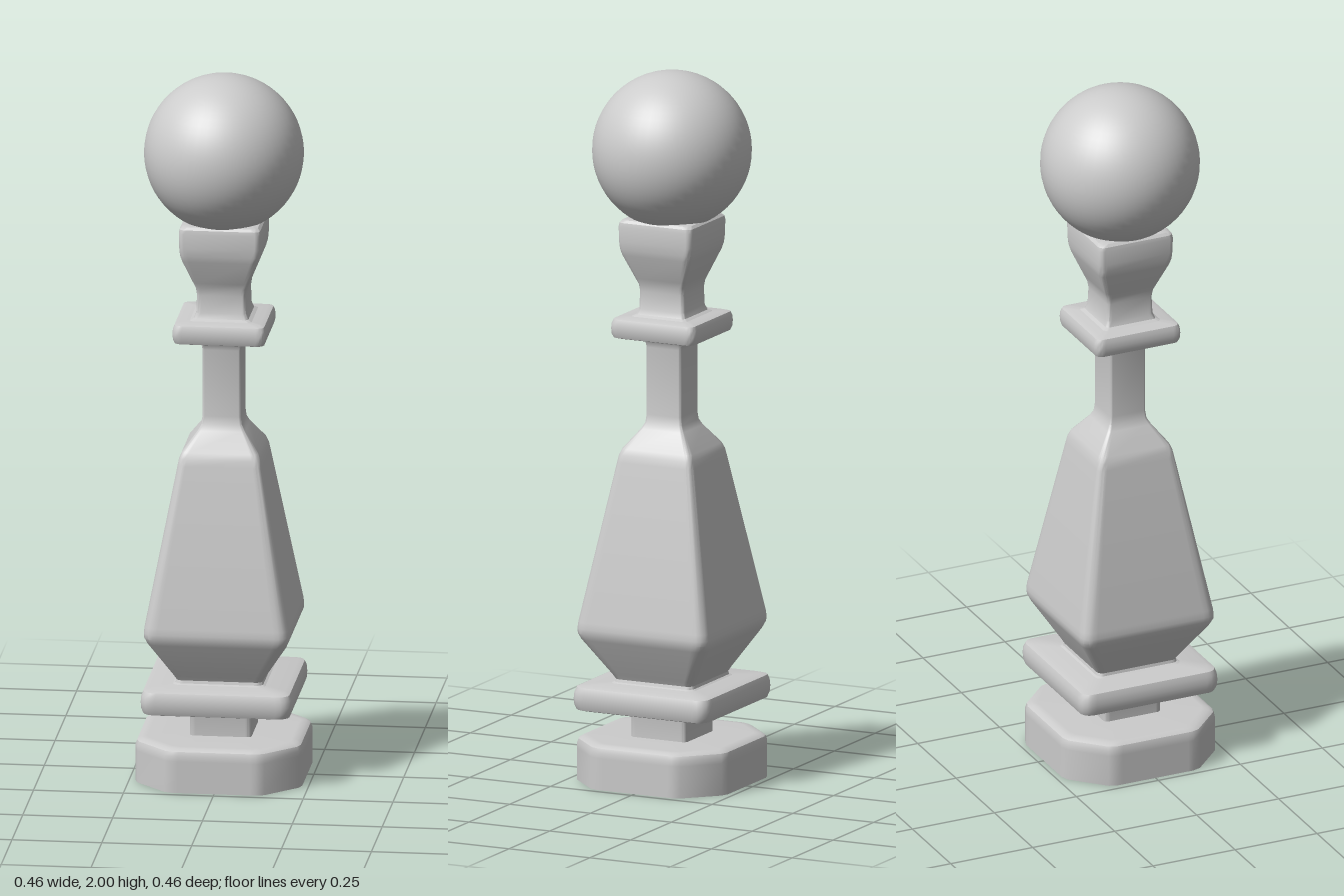
import * as THREE from 'three';
import { toCreasedNormals } from 'three/addons/utils/BufferGeometryUtils.js';

const material = new THREE.MeshStandardMaterial({ color: 0xcccccc, side: THREE.DoubleSide });

// One corner of a square section of half width 1: softly eased, or broadly chamfered
const EASED = [[1, 0.8], [1, 0.87], [0.98, 0.93], [0.93, 0.98], [0.87, 1], [0.8, 1]];
const CHAMFERED = [[1, 0.43], [1, 0.5], [0.965, 0.6], [0.6, 0.965], [0.5, 1], [0.43, 1]];

// Turn one corner into a full section by quarter turns
function fullSection(corner) {
  const section = [];
  for (let q = 0; q < 4; q++) {
    for (const [a, b] of corner) {
      section.push([[a, b], [-b, a], [-a, -b], [b, -a]][q]);
    }
  }
  return section;
}

// Loft a section along a profile of [half width, height], from bottom to top
function squareTurned(name, profile, corner = EASED) {
  const section = fullSection(corner);
  const n = section.length;
  const positions = [];
  const index = [];
  for (const [h, y] of profile) {
    for (const [x, z] of section) positions.push(x * h, y, z * h);
  }
  for (let r = 0; r < profile.length - 1; r++) {
    for (let i = 0; i < n; i++) {
      const a = r * n + i;
      const b = r * n + (i + 1) % n;
      index.push(a, a + n, b, b, a + n, b + n);
    }
  }
  const geometry = new THREE.BufferGeometry();
  geometry.setAttribute('position', new THREE.Float32BufferAttribute(positions, 3));
  geometry.setIndex(index);
  const mesh = new THREE.Mesh(toCreasedNormals(geometry, 0.6), material);
  mesh.name = name;
  return mesh;
}

// Flat square ring with a rounded rim
function collar(name, half, y0, y1) {
  const r = (y1 - y0) / 2;
  const profile = [[0, y0]];
  for (let i = 0; i <= 6; i++) {
    const t = -Math.PI / 2 + (i / 6) * Math.PI;
    const bulge = Math.sqrt(Math.max(0, Math.cos(t)));
    profile.push([half - 0.6 * r * (1 - bulge), (y0 + y1) / 2 + r * Math.sin(t)]);
  }
  profile.push([0, y1]);
  return squareTurned(name, profile);
}

export function createModel() {
  const group = new THREE.Group();
  group.name = 'finial';

  // Hollow foot, open underneath
  group.add(squareTurned('base', [
    [0.232, 0], [0.232, 0.09], [0.232, 0.105], [0.228, 0.117],
    [0.217, 0.124], [0.2, 0.125], [0, 0.125],
  ], CHAMFERED));

  group.add(squareTurned('stem', [
    [0.086, 0.122], [0.086, 0.185], [0.089, 0.198], [0.098, 0.206], [0.115, 0.21],
  ]));
  group.add(collar('lowerCollar', 0.21, 0.208, 0.281));

  // Tapered body running into the neck
  group.add(squareTurned('body', [
    [0.135, 0.278], [0.122, 0.284], [0.12, 0.292], [0.127, 0.305],
    [0.193, 0.41], [0.201, 0.428], [0.202, 0.442], [0.2, 0.46],
    [0.117, 0.905], [0.113, 0.925], [0.106, 0.942],
    [0.066, 0.995], [0.057, 1.012], [0.054, 1.035],
    [0.054, 1.225], [0.057, 1.24], [0.066, 1.25], [0.085, 1.256],
  ]));
  group.add(collar('upperCollar', 0.13, 1.255, 1.315));

  // Flared cup under the ball
  group.add(squareTurned('head', [
    [0.09, 1.313], [0.076, 1.32], [0.07, 1.335], [0.068, 1.385],
    [0.071, 1.405], [0.078, 1.422], [0.106, 1.49], [0.111, 1.508], [0.113, 1.53],
    [0.114, 1.572], [0.112, 1.583], [0.105, 1.59], [0.09, 1.592], [0, 1.592],
  ]));

  const ball = new THREE.Mesh(new THREE.SphereGeometry(0.221, 48, 32), material);
  ball.name = 'ball';
  ball.position.y = 1.779;
  group.add(ball);

  return group;
}
